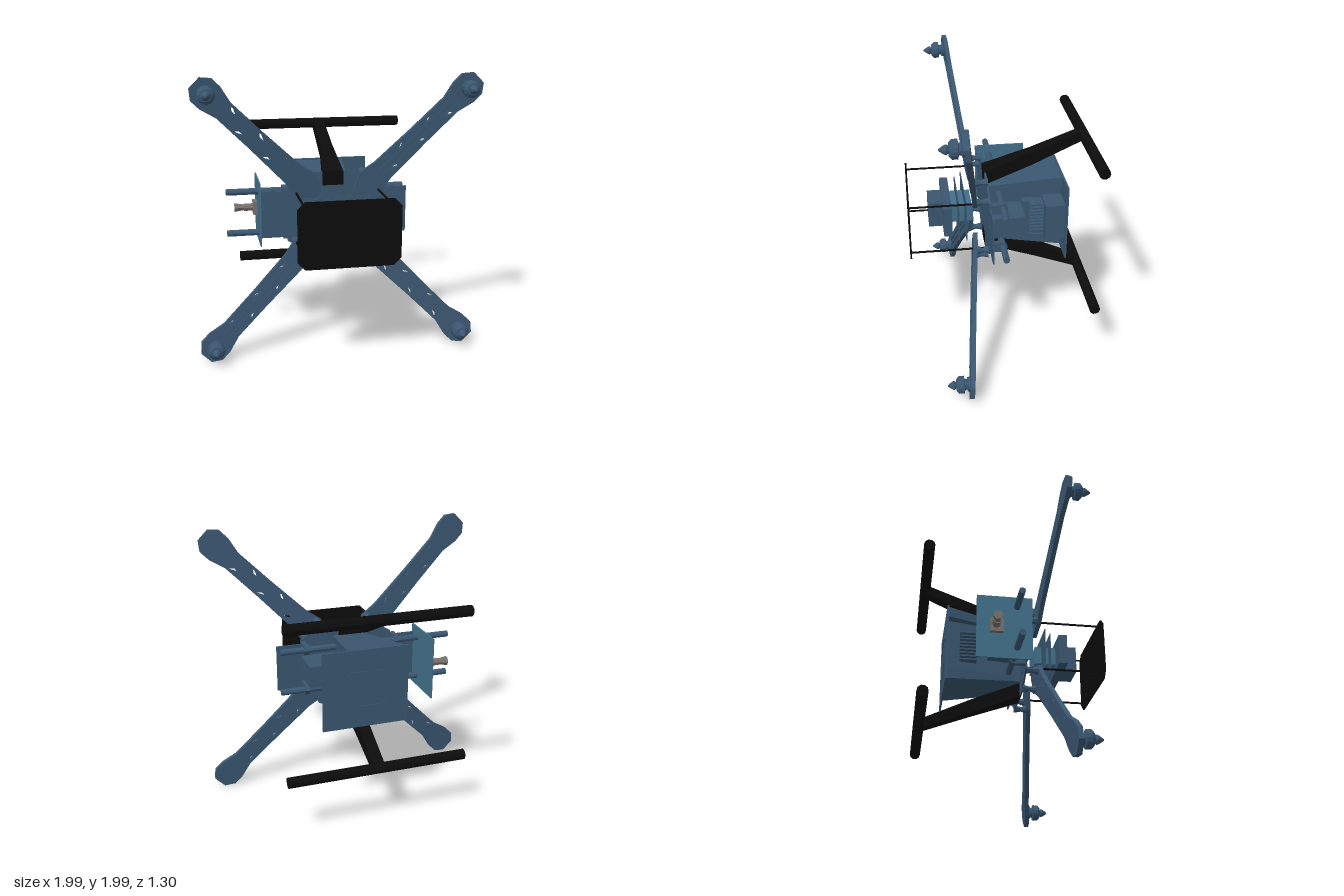
import * as THREE from 'three';

const mat = (color) => new THREE.MeshStandardMaterial({ color, flatShading: true, side: THREE.DoubleSide });
const BLUE = mat(0x3a5670), TEAL = mat(0x42708a), BLACK = mat(0x0c0c0c), GREY = mat(0x77716c);

export function createModel() {
  const root = new THREE.Group();
  root.name = 'quadcopter';

  const add = (name, geo, material, parent = root) => {
    const m = new THREE.Mesh(geo, material);
    m.name = name;
    parent.add(m);
    return m;
  };
  // Box given by its limits on each axis
  const box = (name, x0, x1, y0, y1, z0, z1, material = BLUE) =>
    add(name, new THREE.BoxGeometry(x1 - x0, y1 - y0, z1 - z0), material)
      .position.set((x0 + x1) / 2, (y0 + y1) / 2, (z0 + z1) / 2);
  // Round bar between two points
  const bar = (name, a, b, r0, r1, material = BLUE, sides = 8, parent = root) => {
    const p = new THREE.Vector3(...a), q = new THREE.Vector3(...b), d = q.clone().sub(p);
    const m = add(name, new THREE.CylinderGeometry(r1, r0, d.length(), sides), material, parent);
    m.position.copy(p).add(q).multiplyScalar(0.5);
    m.quaternion.setFromUnitVectors(new THREE.Vector3(0, 1, 0), d.normalize());
    return m;
  };
  const shapeOf = (pts) => new THREE.Shape(pts.map((p) => new THREE.Vector2(...p)));
  const plate = (name, shape, z, depth, material = BLUE) => {
    const m = add(name, new THREE.ExtrudeGeometry(shape, { depth, bevelEnabled: false, curveSegments: 5 }), material);
    m.position.z = z;
    return m;
  };
  // Solid lofted between two rectangles [x0, x1, y0, y1] at two depths
  const loft = (name, a, za, b, zb, material = BLUE) => {
    const geo = new THREE.BoxGeometry(1, 1, 1), p = geo.attributes.position;
    for (let i = 0; i < p.count; i++) {
      const front = p.getZ(i) > 0, r = front ? b : a;
      p.setXYZ(i, p.getX(i) > 0 ? r[1] : r[0], p.getY(i) > 0 ? r[3] : r[2], front ? zb : za);
    }
    geo.computeVertexNormals();
    return add(name, geo, material);
  };

  // Arm outline along its length, with truss openings
  const half = [[0.21, 0.05], [0.33, 0.105], [0.45, 0.082], [0.8, 0.072], [1.1, 0.07], [1.22, 0.1], [1.3, 0.1], [1.36, 0.05]];
  const armShape = shapeOf([...half.map(([u, w]) => [u, -w]), ...half.slice().reverse()]);
  for (let i = 0; i < 5; i++) {
    const u = 0.5 + i * 0.13, s = i % 2 ? 1 : -1;
    armShape.holes.push(new THREE.Path([[u, s * 0.032], [u + 0.045, s * 0.054], [u + 0.06, s * 0.05], [u + 0.035, s * 0.03]]
      .map((p) => new THREE.Vector2(...p))));
  }
  const armGeo = new THREE.ExtrudeGeometry(armShape, { depth: 0.032, bevelEnabled: false });
  const slope = (geo) => {
    const p = geo.attributes.position;
    for (let i = 0; i < p.count; i++) p.setZ(i, p.getZ(i) + 0.163 + (p.getX(i) - 0.25) * 0.1);
    geo.computeVertexNormals();
    return geo;
  };
  slope(armGeo);
  const ribGeos = [-0.022, 0.022].map((w) => slope(new THREE.BoxGeometry(0.72, 0.006, 0.01).translate(0.79, w, 0.034)));
  const motorGeo = new THREE.LatheGeometry([[0, 0], [0.05, 0], [0.05, 0.022], [0.037, 0.027], [0.037, 0.042], [0.06, 0.047],
    [0.06, 0.082], [0.04, 0.1], [0.022, 0.102], [0.032, 0.114], [0.025, 0.13], [0.006, 0.158], [0, 0.158]]
    .map((p) => new THREE.Vector2(...p)), 14).rotateX(Math.PI / 2);

  // Four arms with motors and mounting feet
  for (let i = 0; i < 4; i++) {
    const arm = new THREE.Group();
    arm.name = 'arm' + (i + 1);
    arm.position.set(-0.005, 1, 0);
    arm.rotation.z = Math.PI / 4 + i * Math.PI / 2;
    root.add(arm);
    add('armBeam', armGeo, BLUE, arm);
    ribGeos.forEach((g) => add('armRib', g, BLUE, arm));
    add('motor', motorGeo, BLUE, arm).position.set(1.26, 0, 0.29);
    for (const w of [-0.07, 0.07]) {
      bar('armFoot', [0.345, w, 0.085], [0.345, w, 0.15], 0.03, 0.015, BLUE, 8, arm);
      bar('armFootFlare', [0.345, w, 0.13], [0.345, w, 0.185], 0.016, 0.035, BLUE, 8, arm);
    }
  }

  // Hub plate and the wide carrier plate
  plate('hubPlate', shapeOf([[-0.35, 0.8], [-0.18, 0.7], [0.17, 0.7], [0.34, 0.8], [0.34, 1.2], [0.17, 1.3], [-0.18, 1.3], [-0.35, 1.2]]), 0.082, 0.012);
  box('carrierPlate', -0.54, 0.52, 0.83, 1.17, 0.08, 0.09);

  // Body, rods and rod clamps
  box('bodyBox', -0.38, 0.34, 0.925, 1.08, -0.16, 0.08);
  for (const y of [0.85, 1.155]) {
    bar('rod', [-0.775, y, -0.005], [0.515, y, -0.005], 0.023, 0.023, BLUE, 10);
    for (const x of [-0.36, 0.325]) {
      bar('rodClamp', [x - 0.018, y, 0.005], [x + 0.018, y, 0.005], 0.042, 0.042, BLUE, 6);
      box('clampFoot', x - 0.018, x + 0.018, y - 0.035, y + 0.035, 0, 0.082);
    }
  }

  // Side plate with a small connector
  box('sidePlate', -0.546, -0.536, 0.77, 1.23, -0.28, 0.1, TEAL);
  box('connectorBase', -0.575, -0.546, 0.95, 1.05, -0.19, -0.1, GREY);
  bar('connectorBarrel', [-0.575, 1, -0.15], [-0.64, 1, -0.15], 0.028, 0.028, GREY);
  bar('connectorTip', [-0.64, 1, -0.15], [-0.71, 1, -0.155], 0.022, 0.034, GREY, 6);

  // Rear housing, widening toward the back panel
  loft('rearCore', [-0.2, 0.12, 0.8, 1.2], -0.45, [-0.13, 0.1, 0.83, 1.17], 0.08);
  loft('rearWebUpper', [-0.27, 0.15, 1.2, 1.275], -0.45, [-0.13, 0.1, 1.17, 1.21], 0.08);
  loft('rearWebLower', [-0.27, 0.15, 0.725, 0.8], -0.45, [-0.13, 0.1, 0.79, 0.83], 0.08);
  box('rearBlock', 0.1, 0.3, 0.865, 1.13, -0.45, -0.31);
  box('rearStep', 0.1, 0.17, 0.88, 1.11, -0.31, -0.16);
  for (let i = 0; i < 9; i++) {
    const y = 0.89 + i * 0.026;
    box('coolingFin', 0.17, 0.225, y, y + 0.011, -0.31, -0.21);
    box('coolingFin', -0.23, -0.15, y, y + 0.011, -0.36, -0.24);
  }

  // Back panel with a raised rounded frame
  box('backPanel', -0.275, 0.34, 0.72, 1.285, -0.46, -0.448);
  const rounded = (C, cx, cy, w, h, c) => new C([[-w, -h + c], [-w + c, -h], [w - c, -h], [w, -h + c], [w, h - c], [w - c, h], [-w + c, h], [-w, h - c]]
    .map(([x, y]) => new THREE.Vector2(cx + x, cy + y)));
  const frame = rounded(THREE.Shape, 0.03, 1, 0.15, 0.13, 0.035);
  frame.holes.push(rounded(THREE.Path, 0.03, 1, 0.142, 0.122, 0.033));
  plate('backPanelFrame', frame, -0.464, 0.006);

  // Electronics stack in front of the hub
  box('stackCore', -0.13, 0.1, 0.94, 1.07, 0.19, 0.345, TEAL);
  box('stackBoardLower', -0.27, 0.22, 0.85, 1.15, 0.237, 0.243);
  box('stackBoardUpper', -0.2, 0.2, 0.84, 1.15, 0.288, 0.294);
  box('stackBlock', -0.26, 0.22, 0.895, 1.115, 0.34, 0.4);
  box('stackCap', -0.1, 0.095, 0.91, 1.1, 0.4, 0.5);

  // Black cover plate on thin posts
  plate('coverPlate', rounded(THREE.Shape, -0.008, 1, 0.348, 0.23, 0.05), 0.635, 0.012, BLACK);
  for (const x of [-0.3, 0.285]) for (const y of [0.82, 1.18])
    bar('coverPost', [x, y, 0.09], [x, y, 0.64], 0.008, 0.008, BLACK, 6);

  // Landing gear: a splayed leg and skid bar on each side
  for (const s of [-1, 1]) {
    const side = s > 0 ? 'upper' : 'lower';
    bar(side + 'Skid', [-0.65, 1 + s * 0.535, -0.617], [0.635, 1 + s * 0.535, -0.617], 0.038, 0.038, BLACK, 10);
    const at = (c, hx, hy) => [c[0] - hx, c[0] + hx, 1 + s * c[1] - hy, 1 + s * c[1] + hy];
    loft(side + 'LegOuter', at([-0.008, 0.535], 0.042, 0.034), -0.617, at([-0.008, 0.38], 0.045, 0.05), -0.25, BLACK);
    loft(side + 'LegInner', at([-0.008, 0.38], 0.045, 0.05), -0.25, at([-0.02, 0.25], 0.075, 0.05), 0.095, BLACK);
  }
  return root;
}
